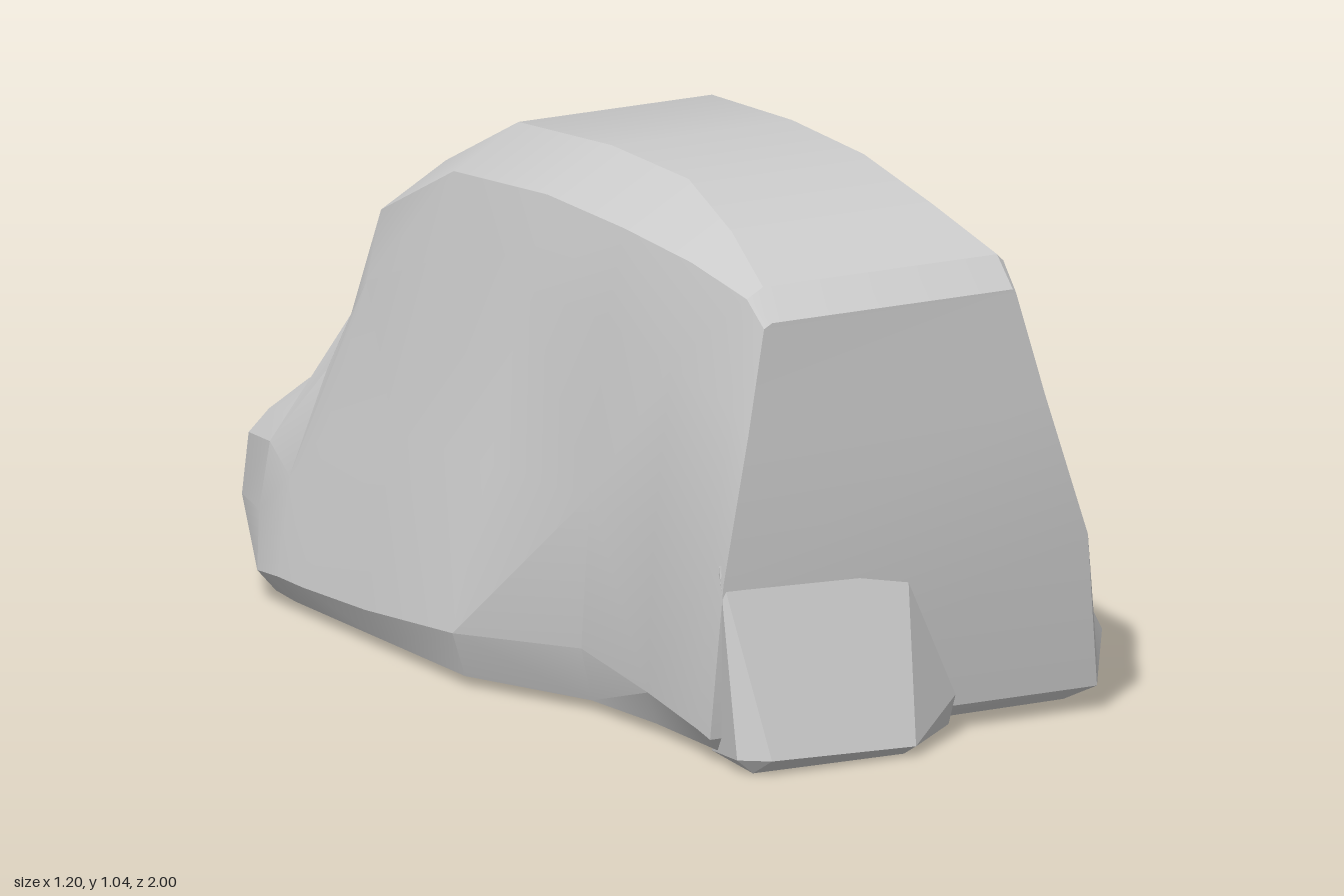
import * as THREE from 'three';
import { toCreasedNormals } from 'three/addons/utils/BufferGeometryUtils.js';
import { ConvexGeometry } from 'three/addons/geometries/ConvexGeometry.js';

// Cross-sections from front to back:
// z, left x (foot, waist, upper, shoulder), right x (shoulder, upper, waist, foot), foot y, top y, bevel
const SECTIONS = [
  [0.88, -0.46, -0.45, -0.39, -0.35, 0.21, 0.27, 0.36, 0.40, 0.05, 0.87, 0.01],
  [0.83, -0.46, -0.45, -0.40, -0.36, 0.21, 0.27, 0.34, 0.43, 0.06, 0.93, 0.02],
  [0.63, -0.46, -0.46, -0.42, -0.37, 0.20, 0.27, 0.37, 0.55, 0.09, 0.99, 0.05],
  [0.40, -0.48, -0.47, -0.43, -0.39, 0.20, 0.27, 0.39, 0.60, 0.13, 1.04, 0.08],
  [0.10, -0.60, -0.52, -0.44, -0.39, 0.21, 0.30, 0.40, 0.56, 0.11, 1.04, 0.08],
  [-0.25, -0.60, -0.53, -0.44, -0.40, 0.23, 0.31, 0.36, 0.43, 0.08, 1.01, 0.08],
  [-0.50, -0.60, -0.54, -0.45, -0.42, 0.23, 0.25, 0.28, 0.32, 0.07, 0.88, 0.08],
  [-0.60, -0.60, -0.56, -0.48, -0.43, 0.18, 0.22, 0.25, 0.28, 0.07, 0.62, 0.05],
  [-0.70, -0.59, -0.57, -0.55, -0.50, 0.14, 0.19, 0.22, 0.24, 0.06, 0.41, 0.05],
  [-0.87, -0.50, -0.51, -0.50, -0.46, 0.12, 0.16, 0.18, 0.18, 0.06, 0.375, 0.05],
  [-0.95, -0.40, -0.42, -0.41, -0.38, 0.06, 0.10, 0.12, 0.11, 0.06, 0.35, 0.03],
  [-0.98, -0.29, -0.30, -0.29, -0.27, 0.00, 0.03, 0.03, 0.02, 0.06, 0.32, 0.02],
];

// Closed outline of one section, from the left base over the top to the right base.
// Waists bulge slightly towards the ends, bases tuck in.
function outline([z, fL, wL, uL, tL, tR, uR, wR, fR, footY, topY, bevel]) {
  const waistY = Math.max(topY * 0.42, footY + 0.05), upperY = topY * 0.75;
  return [
    [fL + 0.03, 0.02, z * 0.95], [fL, footY, z * 0.98], [wL, waistY, z * 1.02], [uL, upperY, z * 1.01],
    [tL, topY - bevel, z], [tL + bevel * 1.8, topY, z], [tR - bevel * 0.7, topY, z], [tR, topY - bevel * 0.7, z],
    [uR, upperY, z * 1.01], [wR, waistY, z * 1.02], [fR, footY, z * 0.98], [fR - 0.06, 0.025, z * 0.95],
  ].map((p) => new THREE.Vector3(...p));
}

// Skin the outlines and close both ends
function loft(rings) {
  const pos = [];
  const tri = (...points) => points.forEach((p) => pos.push(p.x, p.y, p.z));
  const n = rings[0].length;
  for (let i = 0; i < rings.length - 1; i++) {
    for (let j = 0; j < n; j++) {
      const k = (j + 1) % n;
      const a = rings[i][j], b = rings[i][k], c = rings[i + 1][k], d = rings[i + 1][j];
      // alternate the diagonals for a chipped look
      if ((i + j) % 2) { tri(a, b, c); tri(a, c, d); } else { tri(a, b, d); tri(b, c, d); }
    }
  }
  // end caps: level strips from the left side to the right side
  const cap = (ring, front) => {
    for (let j = 0; j < n / 2 - 1; j++) {
      const a = ring[j], b = ring[n - 1 - j], c = ring[n - 2 - j], d = ring[j + 1];
      if (front) { tri(a, b, c); tri(a, c, d); } else { tri(a, c, b); tri(a, d, c); }
    }
  };
  cap(rings[0], true);
  cap(rings[rings.length - 1], false);
  const geometry = new THREE.BufferGeometry();
  geometry.setAttribute('position', new THREE.Float32BufferAttribute(pos, 3));
  return toCreasedNormals(geometry, 0.4);
}

export function createModel() {
  const group = new THREE.Group();
  group.name = 'rock';
  const stone = new THREE.MeshStandardMaterial({ color: 0xcccccc });
  const add = (name, geometry) => {
    const mesh = new THREE.Mesh(geometry, stone);
    mesh.name = name;
    group.add(mesh);
  };

  // Main boulder with its low ledge at the back
  add('boulder', loft(SECTIONS.map(outline)));

  // Wedge jutting out at the foot of the front face
  const wedge = [
    [-0.40, 0.03, 1.0], [-0.08, 0.02, 1.0], [-0.455, 0.03, 0.96], [-0.42, 0, 0.96], [-0.09, 0, 0.97],
    [-0.39, 0.26, 0.92], [-0.45, 0.40, 0.88], [-0.04, 0.32, 0.90], [0.07, 0.08, 0.89], [0.06, 0.02, 0.88],
    [-0.42, 0.01, 0.8], [0.06, 0.02, 0.8],
  ].map((p) => new THREE.Vector3(...p));
  add('frontWedge', toCreasedNormals(new ConvexGeometry(wedge), 0.3));

  return group;
}
